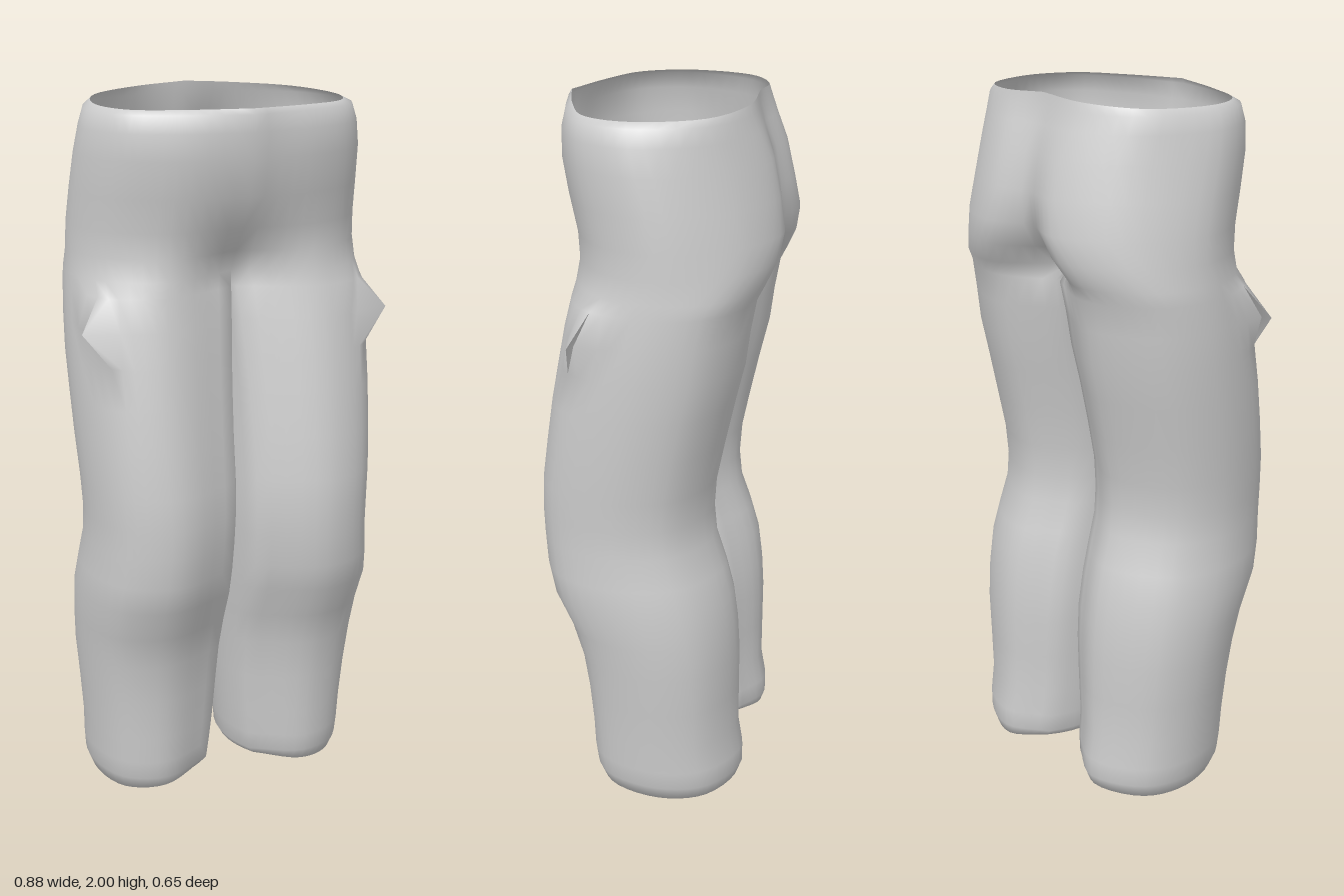
import * as THREE from 'three';
import { mergeVertices } from 'three/addons/utils/BufferGeometryUtils.js';

const OUTER = 30, INNER = 8;

// Hip rows: y, side x, front z, back z, centre front z, centre back z, side z, back peak (fraction of width)
const HIPS = [
  [1.975, 0.345, 0.230, -0.228, 0.283, -0.229, 0.04, 0.42],
  [1.965, 0.370, 0.245, -0.236, 0.292, -0.234, 0.04, 0.40],
  [1.92, 0.386, 0.255, -0.254, 0.292, -0.245, 0.03, 0.36],
  [1.85, 0.398, 0.255, -0.284, 0.285, -0.266, 0.01, 0.32],
  [1.75, 0.405, 0.237, -0.308, 0.260, -0.281, -0.02, 0.31],
  [1.66, 0.410, 0.215, -0.324, 0.210, -0.270, -0.04, 0.32],
  [1.59, 0.412, 0.208, -0.312, 0.160, -0.220, -0.04, 0.36],
  [1.53, 0.418, 0.217, -0.285, 0.125, -0.140, -0.03, 0.42],
];
// Leg rows: y, outer x, front z, back z, inner x, inner rounding
const LEGS = [
  [1.49, 0.422, 0.225, -0.265, -0.006, 0.014],
  [1.405, 0.428, 0.246, -0.250, -0.008, 0.022],
  [1.31, 0.430, 0.264, -0.238, -0.008, 0.028],
  [1.20, 0.428, 0.285, -0.212, -0.008, 0.034],
  [1.08, 0.424, 0.303, -0.186, -0.008, 0.038],
  [0.96, 0.417, 0.320, -0.162, -0.008, 0.040],
  [0.87, 0.412, 0.324, -0.156, -0.008, 0.040],
  [0.79, 0.412, 0.321, -0.164, -0.006, 0.040],
  [0.70, 0.422, 0.313, -0.195, -0.004, 0.040],
  [0.62, 0.430, 0.294, -0.217, -0.003, 0.040],
  [0.52, 0.426, 0.246, -0.230, -0.002, 0.040],
  [0.42, 0.420, 0.216, -0.236, 0.003, 0.040],
  [0.30, 0.408, 0.200, -0.236, 0.010, 0.040],
  [0.18, 0.398, 0.190, -0.236, 0.018, 0.040],
  [0.10, 0.394, 0.187, -0.250, 0.025, 0.040],
  [0.045, 0.390, 0.180, -0.250, 0.030, 0.040],
  [0.022, 0.372, 0.165, -0.238, 0.043, 0.045],
  [0.026, 0.350, 0.150, -0.220, 0.055, 0.045],
];

// Points from the front centre around the outside to the back centre
function outerArc({ y, X, f, b, cf, cb, zm, seam, inner, frontPeak, backPeak, kf, kb }) {
  const at = t => inner + (X - inner) * t;
  const pts = [[seam, cf], [at(frontPeak), f], [at(0.86), zm + (f - zm) * kf], [X, zm],
    [at(backPeak + 0.42), zm + (b - zm) * kb], [at(backPeak), b], [seam, cb]];
  return new THREE.CatmullRomCurve3(pts.map(([x, z]) => new THREE.Vector3(x, y, z))).getPoints(OUTER);
}

// Points from the back centre along the inseam to the front centre
function innerArc(y, cf, cb, seam, bow) {
  return Array.from({ length: INNER }, (_, i) => {
    const t = (i + 1) / INNER;
    return new THREE.Vector3(seam - bow * 4 * t * (1 - t), y, cb + (cf - cb) * t);
  });
}

function buildRows() {
  const hips = HIPS.map(([y, X, f, b, cf, cb, zm, backPeak]) => outerArc({
    y, X, f, b, cf, cb, zm, backPeak, seam: 0, inner: 0, frontPeak: 0.5, kf: 0.66, kb: 0.7,
  }));
  // Waist edge dips at the sides and rises at the back
  hips[0].forEach((p, i) => {
    const t = i / OUTER;
    p.y += 0.005 + 0.02 * t - 0.012 * Math.sin(Math.PI * t);
  });
  const last = HIPS[HIPS.length - 1];
  const crotch = [...hips[hips.length - 1], ...innerArc(last[0], last[4], last[5], 0, 0)];
  const legs = LEGS.map(([y, X, f, b, inner, s]) => {
    const zm = (f + b) / 2, cf = zm + (f - zm) * 0.68, cb = zm + (b - zm) * 0.68, seam = inner + s;
    const arc = outerArc({ y, X, f, b, cf, cb, zm, seam, inner, frontPeak: 0.53, backPeak: 0.45, kf: 0.76, kb: 0.66 });
    return [...arc, ...innerArc(y, cf, cb, seam, s)];
  });
  // Hem hangs lower on the outside
  for (const row of legs.slice(-2)) {
    row.forEach((p, i) => {
      if (i <= OUTER) p.y -= 0.022 * Math.sin(Math.PI * i / OUTER);
    });
  }
  // Pinched crease of cloth on the outer thigh
  const tip = new THREE.Vector3(0.442, 1.405, 0.185), pinch = OUTER / 3;
  legs[1][pinch].copy(tip);
  legs[1][pinch + 1].lerp(tip, 0.55);
  legs[1][pinch + 2].lerp(new THREE.Vector3(0.438, 1.405, 0.10), 0.7);
  return { hips, legs: [crotch, ...legs] };
}

// Skin between successive rows, for both mirrored halves
function skin(groups) {
  const pos = [], idx = [];
  for (const side of [1, -1]) {
    for (const rows of groups) {
      const base = pos.length / 3, n = rows[0].length;
      rows.forEach(row => row.forEach(p => pos.push(p.x * side, p.y, p.z)));
      for (let r = 0; r < rows.length - 1; r++) {
        for (let c = 0; c < n - 1; c++) {
          const a = base + r * n + c, b = a + 1, d = a + n, e = d + 1;
          if (side > 0) idx.push(a, d, b, b, d, e);
          else idx.push(a, b, d, b, e, d);
        }
      }
    }
  }
  let g = new THREE.BufferGeometry();
  g.setAttribute('position', new THREE.Float32BufferAttribute(pos, 3));
  g.setIndex(idx);
  g = mergeVertices(g, 1e-4);
  g.computeVertexNormals();
  return g;
}

export function createModel() {
  const model = new THREE.Group();
  model.name = 'trousers';
  const cloth = new THREE.MeshStandardMaterial({ color: 0xcccccc, side: THREE.DoubleSide });
  cloth.name = 'greyCloth';

  const { hips, legs } = buildRows();
  const body = new THREE.Mesh(skin([hips, legs]), cloth);
  body.name = 'hipsAndLegs';
  model.add(body);
  return model;
}
